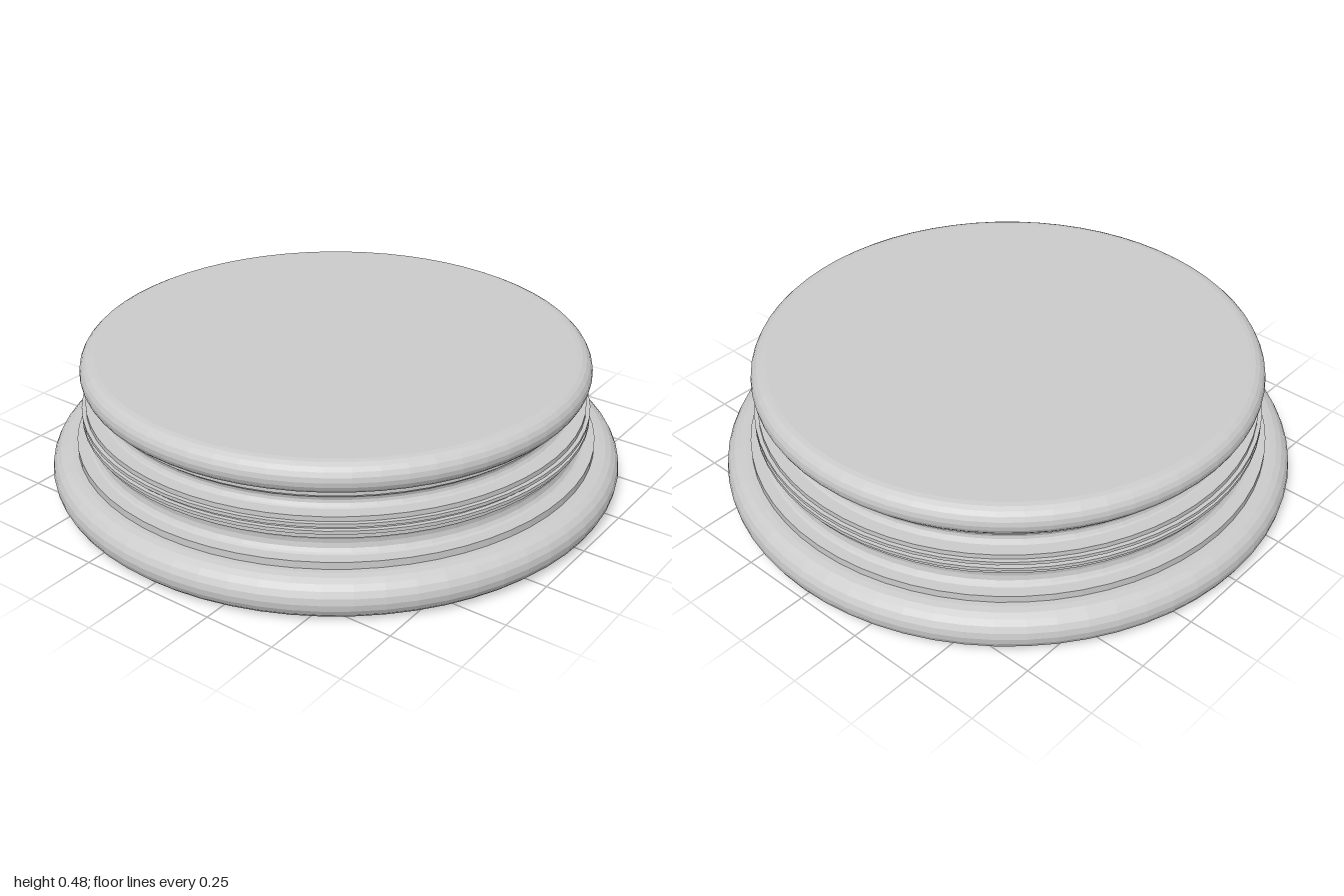
import * as THREE from 'three';

const SEGMENTS = 64;

export function createModel() {
  const group = new THREE.Group();
  group.name = 'roundPedestal';
  const material = new THREE.MeshStandardMaterial({ color: 0xcccccc, flatShading: true });

  // Turn a profile of [radius, height] points, listed from bottom to top
  function turn(name, profile) {
    const points = profile.map(([r, y]) => new THREE.Vector2(r, y));
    const mesh = new THREE.Mesh(new THREE.LatheGeometry(points, SEGMENTS), material);
    mesh.name = name;
    group.add(mesh);
  }

  // Solid disc with a fully rounded rim
  function roundedDisc(name, radius, y0, y1, steps = 10) {
    const h = (y1 - y0) / 2;
    const profile = [[0, y0]];
    for (let i = 0; i <= steps; i++) {
      const a = -Math.PI / 2 + (Math.PI * i) / steps;
      profile.push([radius - h + h * Math.cos(a), y0 + h + h * Math.sin(a)]);
    }
    profile.push([0, y1]);
    turn(name, profile);
  }

  // Plain disc with square edges
  function disc(name, radius, y0, y1) {
    turn(name, [[0, y0], [radius, y0], [radius, y1], [0, y1]]);
  }

  roundedDisc('base', 1, 0, 0.143);
  disc('baseStep', 0.91, 0.13, 0.168);

  // Lower neck, hollowed between the base step and the middle band
  turn('lowerNeck', [
    [0.875, 0.166], [0.863, 0.172], [0.855, 0.183], [0.852, 0.2],
    [0.854, 0.215], [0.86, 0.225], [0.868, 0.232],
  ]);

  // Middle band with two thin raised ridges
  disc('middleBand', 0.872, 0.23, 0.305);
  for (const y of [0.257, 0.282]) disc('bandRidge', 0.886, y - 0.006, y + 0.006);

  // Upper neck, hollowed below the collar
  turn('upperNeck', [
    [0.832, 0.303], [0.822, 0.308], [0.815, 0.318], [0.813, 0.328],
    [0.816, 0.338], [0.824, 0.346], [0.824, 0.357],
  ]);
  disc('collar', 0.835, 0.355, 0.38);

  roundedDisc('top', 0.883, 0.372, 0.48);
  return group;
}
